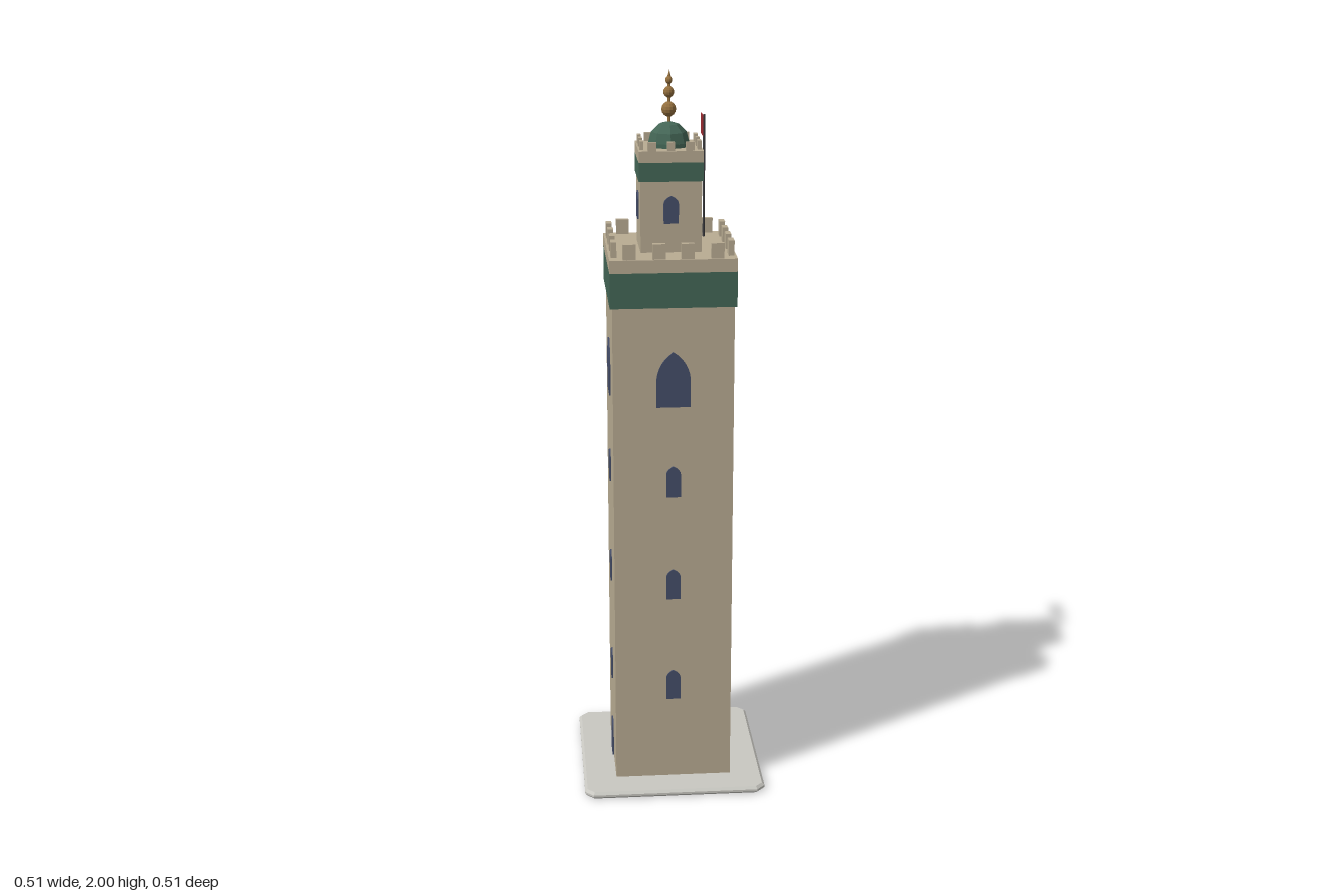
import * as THREE from 'three';

const mat = (name, color) => {
  const m = new THREE.MeshStandardMaterial({ color });
  m.name = name;
  m.flatShading = true;
  return m;
};

export function createModel() {
  const sand = mat('sandstone', 0xb8ab92);
  const green = mat('greenTile', 0x446656);
  const stone = mat('paleStone', 0xc8c7c1);
  const glass = mat('darkBlueOpening', 0x454e6a);
  const bronze = mat('bronze', 0x94703f);
  const iron = mat('darkIron', 0x3a3a3e);
  const red = mat('redCloth', 0x9c2a30);

  const model = new THREE.Group();
  model.name = 'tower';

  const add = (name, geometry, material, x = 0, y = 0, z = 0, parent = model) => {
    const mesh = new THREE.Mesh(geometry, material);
    mesh.name = name;
    mesh.position.set(x, y, z);
    parent.add(mesh);
    return mesh;
  };

  // Square block given by half width and bottom/top heights
  const block = (name, half, y0, y1, material) =>
    add(name, new THREE.BoxGeometry(half * 2, y1 - y0, half * 2), material, 0, (y0 + y1) / 2, 0);

  // Calls build(group) for each of the four sides, turned about y
  const fourSides = (name, build) => {
    for (let i = 0; i < 4; i++) {
      const side = new THREE.Group();
      side.name = name + (i + 1);
      side.rotation.y = (i * Math.PI) / 2;
      build(side);
      model.add(side);
    }
  };

  // Pointed-arch plate standing on y = 0
  const archPlate = (half, spring, height, depth = 0.008) => {
    const s = new THREE.Shape();
    const rise = height - spring;
    s.moveTo(-half, 0);
    s.lineTo(half, 0);
    s.lineTo(half, spring);
    s.quadraticCurveTo(half * 0.9, spring + rise * 0.65, 0, height);
    s.quadraticCurveTo(-half * 0.9, spring + rise * 0.65, -half, spring);
    return new THREE.ExtrudeGeometry(s, { depth, bevelEnabled: false, curveSegments: 6 });
  };

  // Plinth with cut corners and a bevelled edge
  const b = 0.007, h = 0.2545 - b, c = h - 0.019;
  const outline = new THREE.Shape(
    [[-c, -h], [c, -h], [h, -c], [h, c], [c, h], [-c, h], [-h, c], [-h, -c]]
      .map(([x, y]) => new THREE.Vector2(x, y)));
  const plinth = new THREE.ExtrudeGeometry(outline, {
    depth: 0.006, bevelEnabled: true, bevelSize: b, bevelThickness: b, bevelSegments: 1,
  });
  plinth.rotateX(-Math.PI / 2);
  add('plinth', plinth, stone, 0, b, 0);

  // Main shaft and upper turret
  block('shaft', 0.163, 0.02, 1.4, sand);
  block('shaftTileBand', 0.169, 1.4, 1.495, green);
  block('shaftParapet', 0.169, 1.495, 1.53, sand);
  block('turret', 0.082, 1.53, 1.72, sand);
  block('turretTileBand', 0.086, 1.72, 1.77, green);
  block('turretParapet', 0.086, 1.77, 1.8, sand);

  // Battlements
  const lowerMerlon = new THREE.BoxGeometry(0.034, 0.042, 0.015);
  const upperMerlon = new THREE.BoxGeometry(0.022, 0.024, 0.01);
  fourSides('battlements', (side) => {
    for (const x of [-0.117, -0.039, 0.039, 0.117]) {
      add('shaftMerlon', lowerMerlon, sand, x, 1.55, 0.156, side);
    }
    for (const x of [-0.051, 0, 0.051]) {
      add('turretMerlon', upperMerlon, sand, x, 1.811, 0.077, side);
    }
  });

  // Windows on every side
  const smallWindow = archPlate(0.021, 0.066, 0.088);
  const largeWindow = archPlate(0.047, 0.077, 0.153);
  const turretWindow = archPlate(0.021, 0.054, 0.074);
  fourSides('windows', (side) => {
    for (const y of [0.262, 0.567, 0.868]) {
      add('smallWindow', smallWindow, glass, 0, y, 0.159, side);
    }
    add('largeWindow', largeWindow, glass, 0, 1.125, 0.159, side);
    add('turretWindow', turretWindow, glass, 0, 1.608, 0.078, side);
  });

  // Door on the -x side
  const door = add('door', archPlate(0.029, 0.08, 0.112), glass, -0.159, 0.02, 0);
  door.rotation.y = -Math.PI / 2;

  // Eight-sided dome on a low drum
  const R = 0.0555;
  add('domeDrum', new THREE.CylinderGeometry(R, R, 0.012, 8), green, 0, 1.805, 0);
  add('dome', new THREE.SphereGeometry(R, 8, 3, 0, Math.PI * 2, 0, Math.PI / 2), green, 0, 1.81, 0);

  // Finial: rod, three shrinking balls and a spike
  add('finialRod', new THREE.CylinderGeometry(0.004, 0.004, 0.13, 8), bronze, 0, 1.92, 0);
  for (const [y, r] of [[1.897, 0.0205], [1.942, 0.0155], [1.973, 0.0105]]) {
    add('finialBall', new THREE.SphereGeometry(r, 12, 8), bronze, 0, y, 0);
  }
  add('finialSpike', new THREE.ConeGeometry(0.006, 0.024, 8), bronze, 0, 1.988, 0);

  // Flag flying towards the back
  add('flagPole', new THREE.CylinderGeometry(0.003, 0.003, 0.335, 8), iron, 0.105, 1.6975, -0.105);
  add('flag', new THREE.BoxGeometry(0.003, 0.054, 0.08), red, 0.105, 1.829, -0.1475);

  return model;
}
